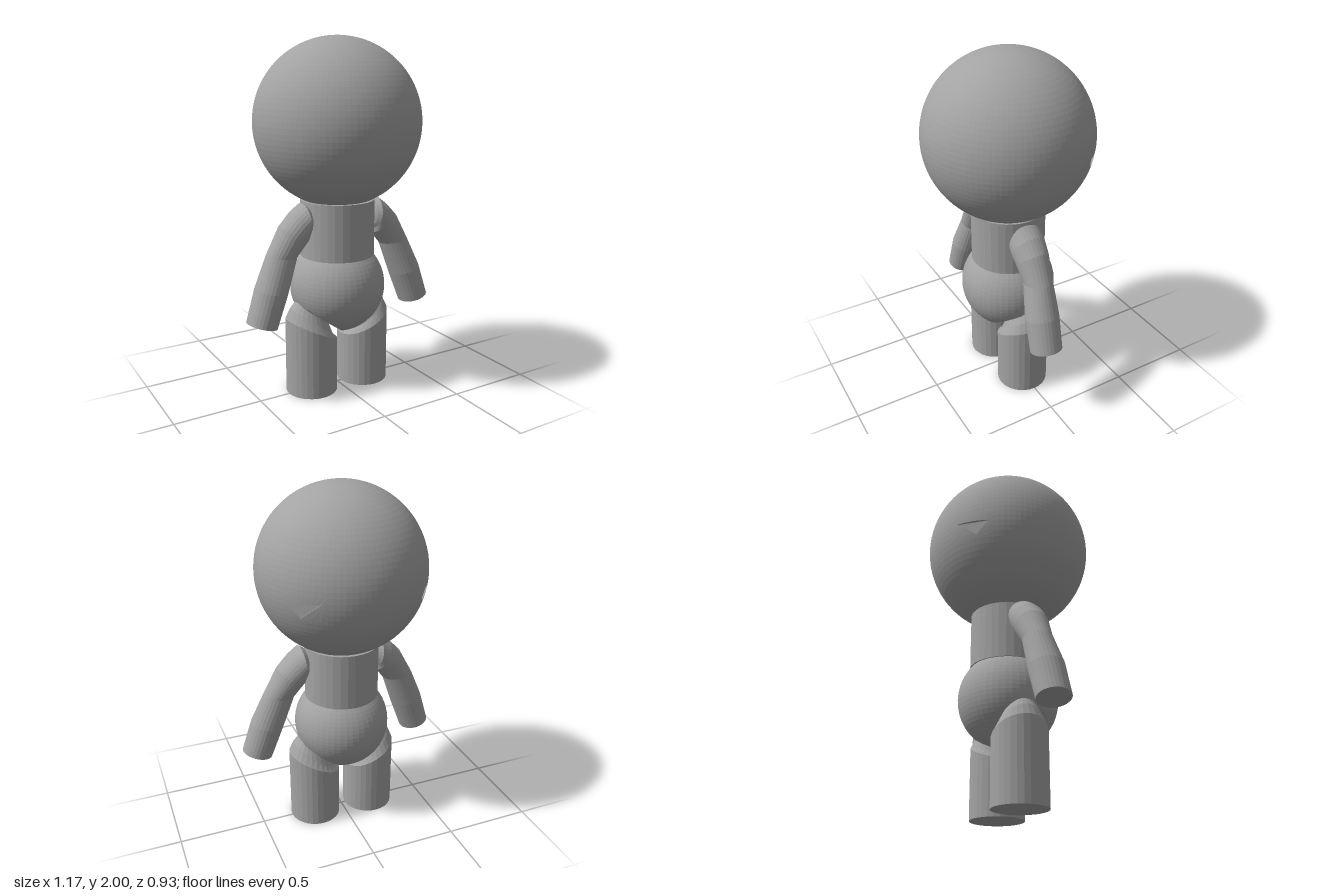
import * as THREE from 'three';

const V = (x, y, z) => new THREE.Vector3(x, y, z);
const TAU = Math.PI * 2;
const DEG = Math.PI / 180;

// Skin a list of rings (arrays of points) into one faceted surface
function loft(rings) {
  const pts = [];
  for (let j = 0; j < rings.length - 1; j++) {
    const lo = rings[j], hi = rings[j + 1], n = lo.length;
    for (let i = 0; i < n; i++) {
      const k = (i + 1) % n;
      pts.push(lo[i], lo[k], hi[k], lo[i], hi[k], hi[i]);
    }
  }
  return fromPoints(pts);
}

function fromPoints(pts) {
  const g = new THREE.BufferGeometry().setFromPoints(pts);
  g.computeVertexNormals();
  return g;
}

// Mirror a triangle list across x = 0, keeping faces outward
function mirrored(geometry) {
  const p = geometry.attributes.position, pts = [];
  for (let i = 0; i < p.count; i += 3) {
    for (const k of [i, i + 2, i + 1]) pts.push(V(-p.getX(k), p.getY(k), p.getZ(k)));
  }
  return fromPoints(pts);
}

// Head: sphere grid with a window left open at the rear of each side
const R = 0.465, HEAD_Y = 1.535, STEP = 3.75;
const onHead = (lon, lat) => V(
  R * Math.cos(lat * DEG) * Math.cos(lon * DEG),
  R * Math.sin(lat * DEG),
  -R * Math.cos(lat * DEG) * Math.sin(lon * DEG));

function headShell() {
  const pts = [];
  for (let j = -24; j < 24; j++) {
    for (let i = 0; i < 96; i++) {
      const inWindow = (i >= 8 && i < 16) || (i >= 32 && i < 40);
      if (inWindow && j >= -5 && j < 0) continue;
      const a = onHead(i * STEP, j * STEP), b = onHead((i + 1) * STEP, j * STEP);
      const c = onHead((i + 1) * STEP, (j + 1) * STEP), d = onHead(i * STEP, (j + 1) * STEP);
      if (j > -24) pts.push(a, b, c);
      else pts.push(a, c, d);
      if (j > -24 && j < 23) pts.push(a, c, d);
    }
  }
  return fromPoints(pts);
}

// Window filler with a shallow, flat-floored triangular notch
function notchPatch() {
  const border = [];
  for (let i = 12; i < 16; i++) border.push([i, -5]);
  for (let j = -5; j < 0; j++) border.push([16, j]);
  for (let i = 16; i > 8; i--) border.push([i, 0]);
  for (let j = 0; j > -5; j--) border.push([8, j]);
  for (let i = 8; i < 12; i++) border.push([i, -5]);

  const corners = [[42.1, -15.6], [56.4, -4.3], [32.8, -6.8]];
  const edge = [], floor = [];
  [9, 8, 9].forEach((n, e) => {
    const p = corners[e], q = corners[(e + 1) % 3];
    for (let s = 0; s < n; s++) {
      const t = s / n;
      edge.push([p[0] + (q[0] - p[0]) * t, p[1] + (q[1] - p[1]) * t]);
      floor.push(onHead(...p).lerp(onHead(...q), t).multiplyScalar(0.99));
    }
  });
  const rings = [0, 1 / 3, 2 / 3, 1].map(t => border.map(([i, j], k) => onHead(
    i * STEP * (1 - t) + edge[k][0] * t,
    j * STEP * (1 - t) + edge[k][1] * t)));
  const mid = corners.reduce((s, c) => s.add(onHead(...c)), V(0, 0, 0)).multiplyScalar(0.33);
  rings.push(floor, floor.map(() => mid));
  return loft(rings);
}

// Pelvis: ball with its underside cut into a V where the legs meet
function pelvis() {
  const g = new THREE.SphereGeometry(0.272, 48, 36);
  g.translate(0, 0.61, 0);
  const p = g.attributes.position;
  for (let i = 0; i < p.count; i++) {
    const y = Math.max(p.getY(i), 0.338 + 0.72 * Math.abs(p.getX(i)));
    p.setY(i, Math.abs(p.getX(i)) > 0.256 ? p.getY(i) : Math.min(y, 0.8));
  }
  g.computeVertexNormals();
  return g;
}

// Leg: column whose top slopes up toward the outside
function leg() {
  const cx = 0.172;
  const levels = [ // radius, height at x = 0, slope
    [0, 0, 0], [0.148, 0, 0], [0.148, 0.29, 0.475],
    [0.122, 0.29, 0.72], [0.092, 0.35, 0.72], [0, 0.36, 0.72],
  ];
  return loft(levels.map(([r, y, slope]) => Array.from({ length: 28 }, (_, i) => {
    const a = i / 28 * TAU, x = cx + r * Math.cos(a);
    return V(x, y + slope * x, -r * Math.sin(a));
  })));
}

// Arm: rounded shoulder, bent upper arm, blunt forearm
function arm() {
  const sections = [ // x, y, z, tilt in degrees, radius, depth radius
    [0.193, 1.015, 0.022, 0, 0, 0],
    [0.198, 1.015, 0.022, 0, 0.045, 0.05],
    [0.210, 1.015, 0.022, 2, 0.078, 0.082],
    [0.228, 1.015, 0.022, 6, 0.095, 0.102],
    [0.262, 0.978, 0.023, 26, 0.094, 0.100],
    [0.305, 0.930, 0.024, 46, 0.090, 0.093],
    [0.367, 0.830, 0.027, 83, 0.088, 0.078],
    [0.440, 0.648, 0.042, 75, 0.093, 0.094],
    [0.503, 0.468, 0.050, 74, 0.087, 0.090],
    [0.503, 0.468, 0.050, 74, 0, 0],
  ];
  return loft(sections.map(([x, y, z, tilt, r, rz]) => Array.from({ length: 28 }, (_, i) => {
    const a = i / 28 * TAU, u = r * Math.cos(a);
    return V(x + u * Math.sin(tilt * DEG), y + u * Math.cos(tilt * DEG), z + rz * Math.sin(a));
  })));
}

export function createModel() {
  const model = new THREE.Group();
  model.name = 'figure';
  const grey = new THREE.MeshStandardMaterial({ color: 0xa3a3a3, flatShading: true });
  grey.name = 'grey';

  const add = (name, geometry, y = 0) => {
    const mesh = new THREE.Mesh(geometry, grey);
    mesh.name = name;
    mesh.position.y = y;
    model.add(mesh);
  };
  const addPair = (name, geometry, y = 0) => {
    add('left' + name, geometry, y);
    add('right' + name, mirrored(geometry), y);
  };

  add('head', headShell(), HEAD_Y);
  addPair('HeadNotch', notchPatch(), HEAD_Y);
  add('torso', new THREE.CylinderGeometry(0.21, 0.21, 0.32, 32), 0.95);
  add('pelvis', pelvis());
  addPair('Leg', leg());
  addPair('Arm', arm());
  return model;
}
